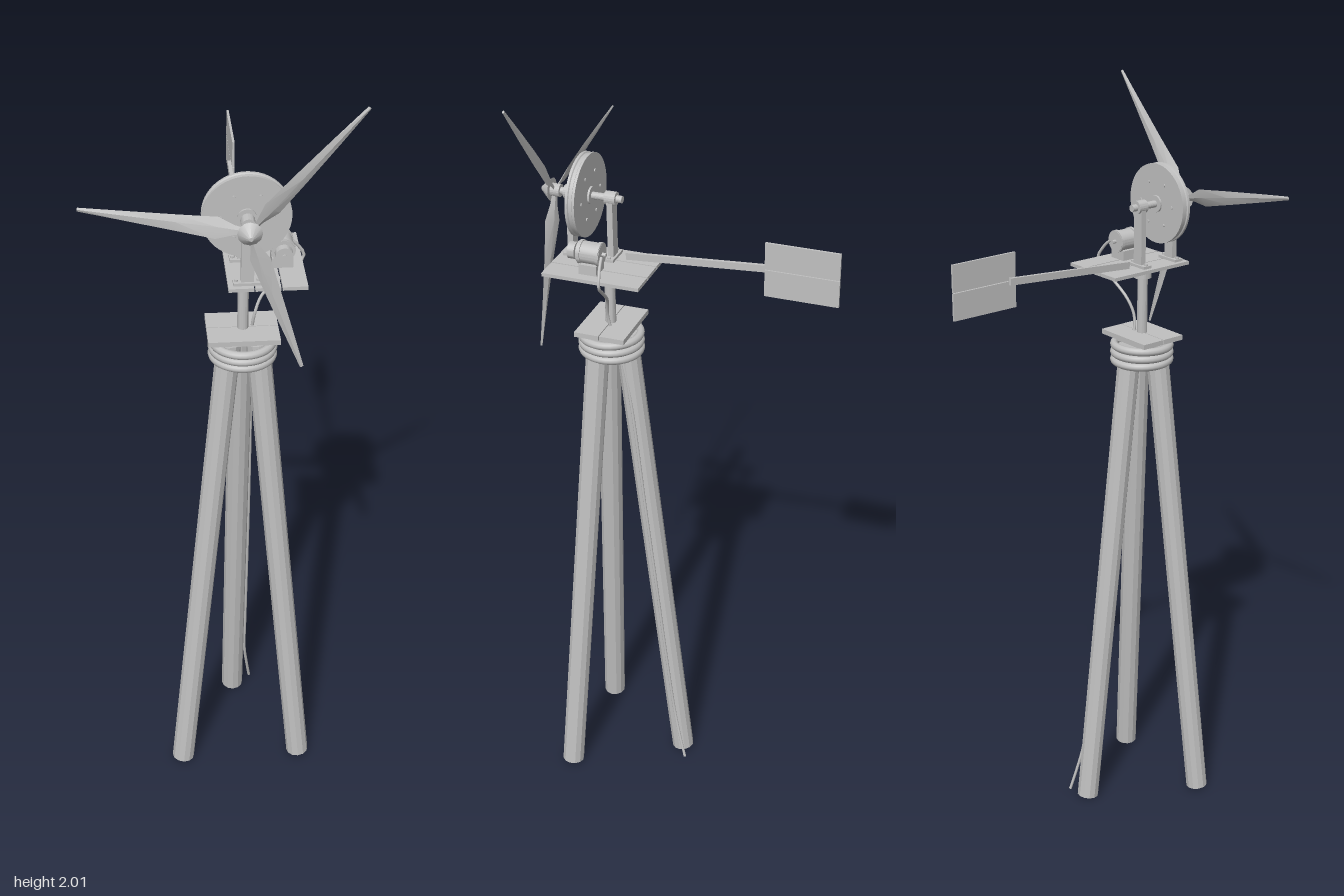
import * as THREE from 'three';
import { toCreasedNormals } from 'three/addons/utils/BufferGeometryUtils.js';

const V = (x, y, z) => new THREE.Vector3(x, y, z);
const CX = 0.061, CZ = 0.21, SHAFT_Y = 1.71;

export function createModel() {
  const root = new THREE.Group();
  root.name = 'windTurbine';
  const grey = new THREE.MeshStandardMaterial({ color: 0xc0c0c0 });
  grey.name = 'plain grey';

  function add(name, geometry, parent = root) {
    const mesh = new THREE.Mesh(geometry, grey);
    mesh.name = name;
    parent.add(mesh);
    return mesh;
  }
  function box(name, w, h, d, x, y, z) {
    const m = add(name, new THREE.BoxGeometry(w, h, d));
    m.position.set(x, y, z);
    return m;
  }
  // Cylinder from point a (radius ra) to point b (radius rb)
  function rod(name, a, b, ra, rb = ra, sides = 20) {
    const dir = b.clone().sub(a);
    const g = toCreasedNormals(new THREE.CylinderGeometry(rb, ra, dir.length(), sides), 0.45);
    const m = add(name, g);
    m.position.copy(a).add(b).multiplyScalar(0.5);
    m.quaternion.setFromUnitVectors(V(0, 1, 0), dir.normalize());
    return m;
  }
  // Cylinder lying along z
  const axle = (name, x, y, z0, z1, r0, r1 = r0, sides = 20) =>
    rod(name, V(x, y, z0), V(x, y, z1), r0, r1, sides);

  // Tripod legs
  [30, 150, 270].forEach((deg) => {
    const a = THREE.MathUtils.degToRad(deg), c = Math.cos(a), s = Math.sin(a);
    rod('leg', V(CX + c * 0.186, 0.004, CZ + s * 0.186),
      V(CX + c * 0.04, 1.345, CZ + s * 0.04), 0.03, 0.03, 12);
  });

  // Rope turns binding the leg tops
  for (let i = 0; i < 3; i++) {
    const rope = add('ropeTurn', new THREE.TorusGeometry(0.074, 0.0105, 10, 36));
    rope.rotation.x = Math.PI / 2 + 0.02 * (i - 1);
    rope.position.set(CX, 1.3 + i * 0.02, CZ);
  }

  // Tower top boards
  box('towerTopBlock', 0.11, 0.016, 0.085, CX, 1.352, CZ);
  [0.1755, 0.2425].forEach((z) => box('towerBoard', 0.173, 0.013, 0.065, CX - 0.001, 1.3665, z));

  // Swivel mast
  rod('mast', V(CX, 1.37, CZ), V(CX, 1.54, CZ), 0.0135);
  rod('mastCollar', V(CX, 1.522, CZ), V(CX, 1.545, CZ), 0.023);

  // Machine deck of three boards
  [0.0455, 0.1075, 0.17].forEach((x) => box('deckBoard', 0.059, 0.009, 0.25, x, 1.549, 0.205));

  // Bearing posts with feet and bolts
  [0.199, 0.305].forEach((z) => {
    box('bearingPost', 0.03, 0.152, 0.015, CX, 1.629, z);
    box('bearingFoot', 0.066, 0.007, 0.026, CX, 1.557, z);
    axle('bearingHousing', CX, SHAFT_Y, z - 0.014, z + 0.014, 0.017);
    [-1, 1].forEach((s) => rod('footBolt', V(CX + s * 0.026, 1.558, z),
      V(CX + s * 0.026, 1.565, z), 0.005, 0.005, 8));
  });

  // Main shaft and drive wheel
  axle('mainShaft', CX, SHAFT_Y, 0.17, 0.36, 0.009);
  axle('wheelHub', CX, SHAFT_Y, 0.248, 0.282, 0.022);
  const rim = [[0.001, 0.253], [0.103, 0.253], [0.103, 0.259], [0.1, 0.261],
    [0.1, 0.269], [0.103, 0.271], [0.103, 0.277], [0.001, 0.277]];
  const wheel = add('driveWheel', toCreasedNormals(new THREE.LatheGeometry(
    rim.map(([r, z]) => new THREE.Vector2(r, z)), 48), 0.4));
  wheel.rotation.x = Math.PI / 2;
  wheel.position.set(CX, SHAFT_Y, 0);
  for (let i = 0; i < 6; i++) {
    const a = i * Math.PI / 3;
    axle('wheelBolt', CX + Math.cos(a) * 0.06, SHAFT_Y + Math.sin(a) * 0.06, 0.25, 0.28, 0.004, 0.004, 8);
  }

  // Generator, its mount and friction roller
  const GX = 0.149, GY = 1.602;
  axle('generatorBody', GX, GY, 0.19, 0.25, 0.027, 0.027, 24);
  [0.195, 0.243].forEach((z) => axle('generatorBand', GX, GY, z - 0.004, z + 0.004, 0.0295, 0.0295, 24));
  axle('generatorShaft', GX, GY, 0.18, 0.278, 0.005, 0.005, 10);
  axle('frictionRoller', GX, GY, 0.256, 0.274, 0.021);
  box('generatorMount', 0.05, 0.026, 0.046, GX, 1.566, 0.22);

  // Nose cone and rotor hub
  axle('rotorHub', CX, SHAFT_Y, 0.33, 0.356, 0.016);
  axle('noseCone', CX, SHAFT_Y, 0.354, 0.38, 0.029, 0.005, 12);

  // Twisted tapering blades, built from four-cornered sections
  const sections = [[0.01, 0.016, 0.5], [0.035, 0.022, 0.48], [0.075, 0.05, 0.36],
    [0.17, 0.037, 0.24], [0.28, 0.023, 0.16], [0.387, 0.009, 0.1]]; // radius, chord, pitch
  function bladeGeometry() {
    const pos = [], idx = [];
    sections.forEach(([r, chord, pitch]) => {
      const t = 0.0025 + chord * 0.03, c = Math.cos(pitch), s = Math.sin(pitch);
      [[-0.5, 0], [-0.05, -t], [0.5, 0], [-0.05, t]].forEach(([u, w]) => {
        const y = u * chord;
        pos.push(r, y * c - w * s, y * s + w * c);
      });
    });
    const n = sections.length;
    for (let i = 0; i < n - 1; i++) for (let j = 0; j < 4; j++) {
      const a = i * 4 + j, b = i * 4 + (j + 1) % 4;
      idx.push(a, b + 4, b, a, a + 4, b + 4);
    }
    const e = (n - 1) * 4;
    idx.push(0, 1, 2, 0, 2, 3, e, e + 2, e + 1, e, e + 3, e + 2);
    // Reverse winding so faces point outward
    for (let i = 0; i < idx.length; i += 3) [idx[i + 1], idx[i + 2]] = [idx[i + 2], idx[i + 1]];
    const g = new THREE.BufferGeometry();
    g.setAttribute('position', new THREE.Float32BufferAttribute(pos, 3));
    g.setIndex(idx);
    g.computeVertexNormals();
    return toCreasedNormals(g, 0.3);
  }
  const blade = bladeGeometry();
  for (let i = 0; i < 3; i++) {
    const m = add('blade', blade);
    m.position.set(CX, SHAFT_Y, 0.346);
    m.rotation.z = THREE.MathUtils.degToRad(49.2 + i * 120);
  }

  // Tail boom and two-board vane
  const from = V(0.062, 1.563, 0.163), to = V(0.062, 1.59, -0.215);
  const boom = add('tailBoom', new THREE.BoxGeometry(0.009, 0.018, from.distanceTo(to)));
  boom.position.copy(from).add(to).multiplyScalar(0.5);
  boom.lookAt(to);
  [1.5545, 1.6255].forEach((y) => box('tailVane', 0.006, 0.069, 0.185, 0.0705, y, -0.286));

  // Power cable, from the generator down the rear leg
  const path = [[0.165, 1.602, 0.186], [0.185, 1.585, 0.183], [0.207, 1.545, 0.178], [0.17, 1.51, 0.185],
    [0.108, 1.455, 0.198], [0.09, 1.41, 0.207], [0.084, 1.36, 0.2], [0.088, 1.25, 0.165],
    [0.093, 0.8, 0.11], [0.094, 0.3, 0.055], [0.095, 0.15, 0.036], [0.104, 0.07, 0.018], [0.113, 0.004, 0]];
  add('powerCable', new THREE.TubeGeometry(
    new THREE.CatmullRomCurve3(path.map((p) => V(...p)), false, 'centripetal'), 120, 0.004, 8));

  return root;
}
